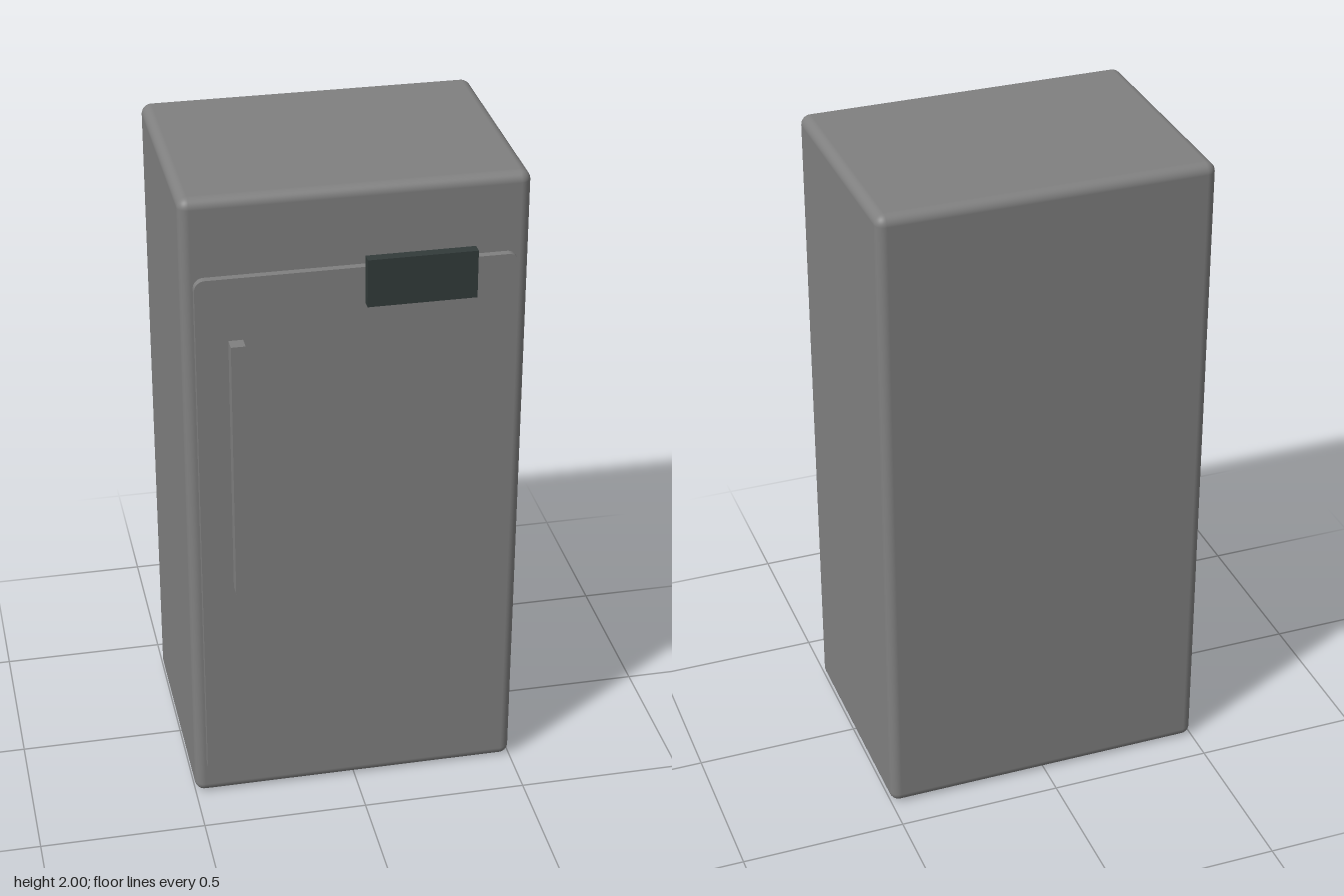
import * as THREE from 'three';
import { RoundedBoxGeometry } from 'three/addons/geometries/RoundedBoxGeometry.js';

const casing = new THREE.MeshStandardMaterial({ color: 0x808080 });
casing.name = 'casing grey';
const dark = new THREE.MeshStandardMaterial({ color: 0x323b3a });
dark.name = 'panel dark green grey';

// Place a geometry so it fills the given ranges on each axis
function part(name, geometry, material, [x0, x1], [y0, y1], [z0, z1]) {
  const mesh = new THREE.Mesh(geometry(x1 - x0, y1 - y0, z1 - z0), material);
  mesh.name = name;
  mesh.position.set((x0 + x1) / 2, (y0 + y1) / 2, (z0 + z1) / 2);
  return mesh;
}

const box = (w, h, d) => new THREE.BoxGeometry(w, h, d);
const softBox = (w, h, d) => new RoundedBoxGeometry(w, h, d, 5, 0.03);

// Flat slab with rounded corners in its outline only
function slab(w, h, d) {
  const r = 0.03, x = w / 2, y = h / 2;
  const s = new THREE.Shape();
  s.absarc(x - r, y - r, r, 0, Math.PI / 2);
  s.absarc(-x + r, y - r, r, Math.PI / 2, Math.PI);
  s.absarc(-x + r, -y + r, r, Math.PI, Math.PI * 1.5);
  s.absarc(x - r, -y + r, r, Math.PI * 1.5, Math.PI * 2);
  s.closePath();
  return new THREE.ExtrudeGeometry(s, { depth: d, bevelEnabled: false, curveSegments: 6 })
    .translate(0, 0, -d / 2);
}

export function createModel() {
  const fridge = new THREE.Group();
  fridge.name = 'refrigerator';
  fridge.add(
    part('cabinet', softBox, casing, [-0.5, 0.5], [0, 2], [-0.4, 0.336]),
    part('door', slab, casing, [-0.465, 0.463], [0.085, 1.765], [0.31, 0.358]),
    part('handle', box, casing, [-0.372, -0.33], [0.757, 1.573], [0.355, 0.4]),
    part('controlPanel', box, dark, [0.02, 0.337], [1.653, 1.798], [0.355, 0.387]),
  );
  return fridge;
}
